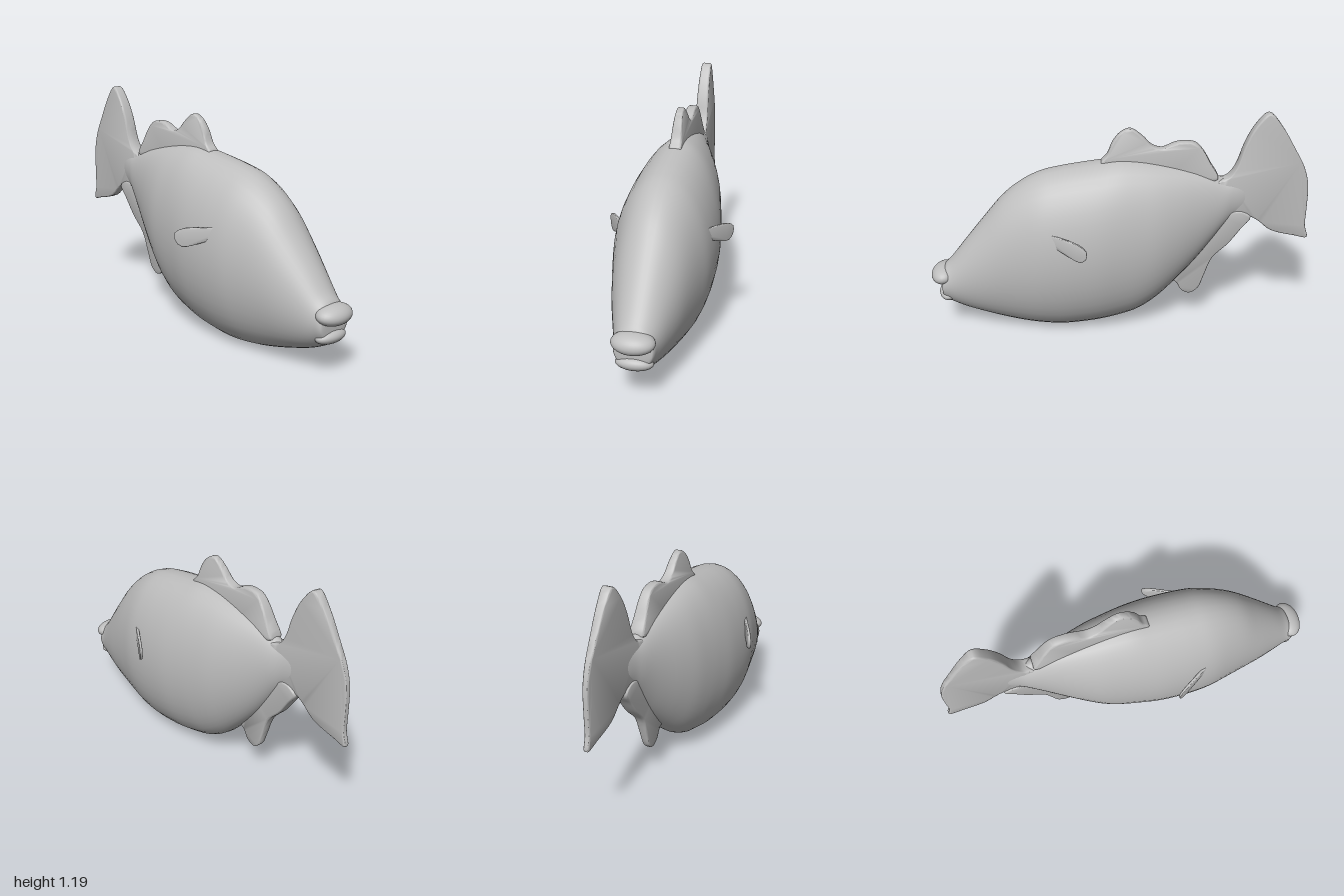
import * as THREE from 'three';
import { toCreasedNormals } from 'three/addons/utils/BufferGeometryUtils.js';

const grey = new THREE.MeshStandardMaterial({ color: 0xbebebe });
grey.name = 'clay grey';

// Body stations from tail to snout: x, bottom, top, half width
const STATIONS = [
  [-0.73, 0.735, 0.745, 0.002], [-0.68, 0.66, 0.83, 0.025], [-0.6, 0.615, 0.835, 0.045],
  [-0.55, 0.565, 0.835, 0.062], [-0.48, 0.47, 0.86, 0.085], [-0.4, 0.365, 0.885, 0.115],
  [-0.3, 0.25, 0.91, 0.155], [-0.2, 0.15, 0.93, 0.19], [-0.1, 0.08, 0.945, 0.212],
  [0, 0.045, 0.95, 0.23], [0.1, 0.022, 0.937, 0.245], [0.2, 0.008, 0.922, 0.25],
  [0.3, 0, 0.905, 0.249], [0.4, 0.005, 0.88, 0.24], [0.5, 0.018, 0.83, 0.217],
  [0.6, 0.04, 0.75, 0.192], [0.7, 0.068, 0.632, 0.165], [0.8, 0.1, 0.508, 0.132],
  [0.88, 0.135, 0.405, 0.105], [0.925, 0.165, 0.355, 0.095], [0.938, 0.2, 0.3, 0.075],
  [0.94, 0.248, 0.252, 0.002],
];

function bodyGeometry(rings = 88, sides = 40) {
  const curve = (pick) => new THREE.CatmullRomCurve3(STATIONS.map(pick), false, 'catmullrom');
  const upper = curve(([x, , top, w]) => new THREE.Vector3(x, top, w));
  const lower = curve(([x, bottom]) => new THREE.Vector3(x, bottom, 0));
  const pos = [], index = [];
  for (let i = 0; i <= rings; i++) {
    const a = upper.getPoint(i / rings), b = lower.getPoint(i / rings);
    const mid = (a.y + b.y) / 2, half = (a.y - b.y) / 2;
    for (let j = 0; j < sides; j++) {
      const t = (j / sides) * Math.PI * 2;
      pos.push(a.x, mid + half * Math.cos(t), a.z * Math.sin(t));
      if (i === rings) continue;
      const k = (j + 1) % sides, p = i * sides, q = p + sides;
      index.push(p + j, p + k, q + j, p + k, q + k, q + j);
    }
  }
  const geo = new THREE.BufferGeometry();
  geo.setAttribute('position', new THREE.Float32BufferAttribute(pos, 3));
  geo.setIndex(index);
  geo.computeVertexNormals();
  return geo;
}

// Fin with a rounded rim; zAt(x, y, side) gives z for side running from -1 to 1
function finGeometry(points, zAt, detail = 4) {
  const pts = points.map(([x, y]) => new THREE.Vector3(x, y, 0));
  const outline = new THREE.CatmullRomCurve3(pts, true, 'centripetal').getPoints(points.length * detail);
  outline.pop();
  const shape = new THREE.Shape(outline.map((p) => new THREE.Vector2(p.x, p.y)));
  const geo = new THREE.ExtrudeGeometry(shape, {
    depth: 1.2, bevelThickness: 0.4, bevelSize: 0.008, bevelOffset: -0.008, bevelSegments: 3,
  });
  const p = geo.attributes.position;
  for (let i = 0; i < p.count; i++) {
    p.setZ(i, zAt(p.getX(i), p.getY(i), p.getZ(i) - 0.6));
  }
  return toCreasedNormals(geo, 0.9);
}

export function createModel() {
  const fish = new THREE.Group();
  fish.name = 'fish';
  const add = (name, geo) => {
    const mesh = new THREE.Mesh(geo, grey);
    mesh.name = name;
    fish.add(mesh);
    return mesh;
  };

  add('body', bodyGeometry());

  // Lips
  const lip = (name, x, y, rx, ry, rz, tilt) => {
    const mesh = add(name, new THREE.SphereGeometry(1, 32, 20));
    mesh.position.set(x, y, 0);
    mesh.scale.set(rx, ry, rz);
    mesh.rotation.z = tilt;
  };
  lip('upperLip', 0.93, 0.307, 0.069, 0.05, 0.103, -0.15);
  lip('lowerLip', 0.913, 0.195, 0.051, 0.036, 0.09, 0.2);

  // Tail fin, thinning toward its rear edge
  add('tailFin', finGeometry([
    [-0.5, 0.82], [-0.56, 0.845], [-0.6, 0.9], [-0.64, 1.02], [-0.69, 1.12], [-0.755, 1.185],
    [-0.82, 1.12], [-0.9, 0.99], [-0.95, 0.9], [-0.98, 0.8], [-0.985, 0.65], [-0.985, 0.56],
    [-1.0, 0.49], [-0.93, 0.503], [-0.8, 0.54], [-0.73, 0.597], [-0.68, 0.625], [-0.6, 0.625], [-0.5, 0.65],
  ], (x, y, s) => s * (0.013 + 0.055 * (x + 1))));

  // Two-humped dorsal fin, thinning upward
  add('dorsalFin', finGeometry([
    [-0.51, 0.84], [-0.47, 0.92], [-0.43, 0.99], [-0.39, 1.03], [-0.33, 1.04], [-0.28, 1.03],
    [-0.22, 1.005], [-0.17, 1.02], [-0.12, 1.07], [-0.06, 1.11], [-0.01, 1.09], [0.03, 1.04],
    [0.06, 0.97], [0.09, 0.935], [0.07, 0.9], [-0.2, 0.87], [-0.42, 0.83],
  ], (x, y, s) => s * (0.018 + 0.08 * Math.max(0, 1.11 - y))));

  // Anal fin below the tail root
  add('analFin', finGeometry([
    [-0.69, 0.625], [-0.64, 0.55], [-0.58, 0.465], [-0.5, 0.38], [-0.46, 0.27], [-0.43, 0.19],
    [-0.385, 0.16], [-0.34, 0.18], [-0.31, 0.23], [-0.28, 0.243], [-0.22, 0.2],
    [-0.25, 0.3], [-0.4, 0.47], [-0.52, 0.62], [-0.62, 0.66],
  ], (x, y, s) => s * (0.016 + 0.05 * (y - 0.16))));

  // Pectoral fins, slanting outward to the rear
  const pectoral = finGeometry([
    [0.168, 0.582], [0.21, 0.61], [0.3, 0.622], [0.4, 0.628], [0.41, 0.59],
    [0.33, 0.562], [0.25, 0.527], [0.2, 0.514], [0.17, 0.54],
  ], (x, y, s) => 0.312 - 0.55 * (x - 0.17) + s * 0.009, 2);
  for (const side of [1, -1]) {
    add(side > 0 ? 'frontPectoralFin' : 'backPectoralFin', pectoral).scale.z = side;
  }
  return fish;
}
